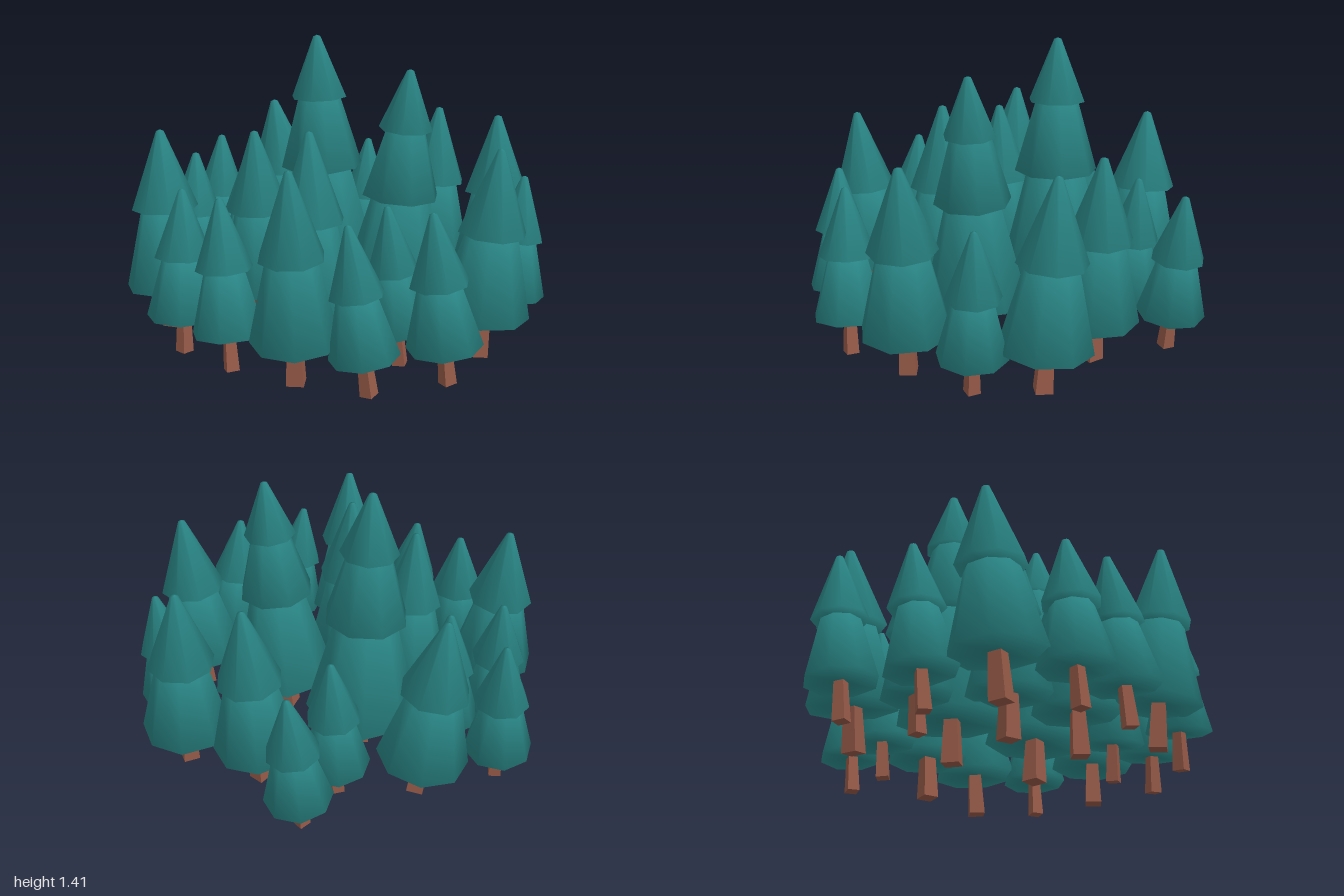
import * as THREE from 'three';

const leaf = new THREE.MeshStandardMaterial({ color: 0x2a8686 });
const bark = new THREE.MeshStandardMaterial({ color: 0x965a48, flatShading: true });

// Tiers for each kind of tree: [bottom y, bottom radius, top y, top radius]; the last one is the tip
const kinds = {
  small: { trunk: [0.042, 0.029], tiers: [[0.185, 0.16, 0.5, 0.09], [0.475, 0.125, 0.79, 0.016]] },
  medium: { trunk: [0.056, 0.04], tiers: [[0.215, 0.21, 0.64, 0.12], [0.61, 0.158, 1.0, 0.018]] },
  tall: {
    trunk: [0.06, 0.042],
    tiers: [[0.215, 0.265, 0.78, 0.14], [0.735, 0.197, 1.13, 0.095], [1.073, 0.135, 1.37, 0.018]],
  },
};

// kind, base x, base z, base radius, apex x, apex z, height, turn of the base in degrees
const trees = [
  ['small', 0.11, -0.82, 0.163, 0.145, -0.875, 0.78, 10],
  ['small', -0.04, -0.575, 0.163, -0.02, -0.62, 0.79, 10],
  ['medium', -0.445, -0.525, 0.22, -0.53, -0.54, 0.99, 0],
  ['medium', 0.345, -0.51, 0.21, 0.38, -0.55, 1.0, 10],
  ['medium', 0.71, -0.395, 0.215, 0.7, -0.44, 1.0, 5],
  ['small', -0.805, -0.39, 0.166, -0.8, -0.44, 0.8, 10],
  ['small', -0.55, -0.16, 0.165, -0.55, -0.2, 0.8, 10],
  ['small', -0.795, -0.025, 0.166, -0.8, -0.08, 0.79, 10],
  ['tall', -0.13, -0.17, 0.275, -0.17, -0.165, 1.41, 6],
  ['tall', 0.285, 0.095, 0.249, 0.36, 0.095, 1.31, 10],
  ['small', 0.84, -0.1, 0.163, 0.88, -0.13, 0.78, 10],
  ['medium', 0.755, 0.25, 0.214, 0.81, 0.24, 1.0, 5],
  ['medium', -0.79, 0.31, 0.215, -0.83, 0.27, 0.99, 12],
  ['medium', -0.352, 0.195, 0.2, -0.37, 0.21, 1.0, 10],
  ['medium', -0.025, 0.41, 0.214, -0.04, 0.39, 1.06, 15],
  ['small', 0.395, 0.46, 0.154, 0.35, 0.49, 0.77, 10],
  ['small', -0.6, 0.583, 0.172, -0.6, 0.55, 0.79, 18],
  ['small', -0.325, 0.71, 0.168, -0.37, 0.67, 0.8, 8],
  ['medium', 0.01, 0.78, 0.2, 0.01, 0.84, 1.0, 18],
  ['small', 0.33, 0.8, 0.158, 0.26, 0.82, 0.78, 12],
  ['small', 0.64, 0.595, 0.172, 0.58, 0.62, 0.8, 8],
];

// One eight-sided tier with closed ends, shaded smoothly around the rim
function tierGeometry([y0, r0, y1, r1]) {
  const profile = [[0, y0], [r0, y0], [r1, y1 - r1 * 0.4], [0, y1]];
  return new THREE.LatheGeometry(profile.map(([r, y]) => new THREE.Vector2(r, y)), 8);
}

function createTree([kind, x, z, radius, apexX, apexZ, height, turn], index) {
  const { trunk, tiers } = kinds[kind];
  const baseY = tiers[0][0];
  const tree = new THREE.Group();
  tree.name = kind + 'Tree' + (index + 1);

  // The whole tree tilts about the middle of its lowest rim, towards the apex
  const axis = new THREE.Vector3(apexX - x, height - baseY, apexZ - z);
  const length = axis.length();
  tree.position.set(x, baseY, z);
  tree.quaternion.setFromUnitVectors(new THREE.Vector3(0, 1, 0), axis.normalize());
  const add = (geometry, material, name, angle) => {
    const mesh = new THREE.Mesh(geometry.rotateY(angle), material);
    mesh.name = name;
    tree.add(mesh);
  };

  // The trunk reaches down to the ground and a little way into the foliage
  const trunkBottom = 0.004 - baseY;
  const trunkTop = 0.06;
  add(new THREE.CylinderGeometry(trunk[1], trunk[0], trunkTop - trunkBottom, 4)
    .translate(0, (trunkTop + trunkBottom) / 2, 0), bark, 'trunk', index * 1.1);

  // Stretch the tiers to reach the tree's own height
  const stretch = length / (tiers[tiers.length - 1][2] - baseY);
  const widen = radius / tiers[0][1];
  const level = (y) => (y - baseY) * stretch;
  tiers.forEach(([y0, r0, y1, r1], i) => {
    add(tierGeometry([level(y0), r0 * widen, level(y1), r1 * widen]),
      leaf, 'foliageTier' + (i + 1), THREE.MathUtils.degToRad(turn + i * 20));
  });
  return tree;
}

export function createModel() {
  const forest = new THREE.Group();
  forest.name = 'forest';
  trees.forEach((spec, i) => forest.add(createTree(spec, i)));
  return forest;
}
